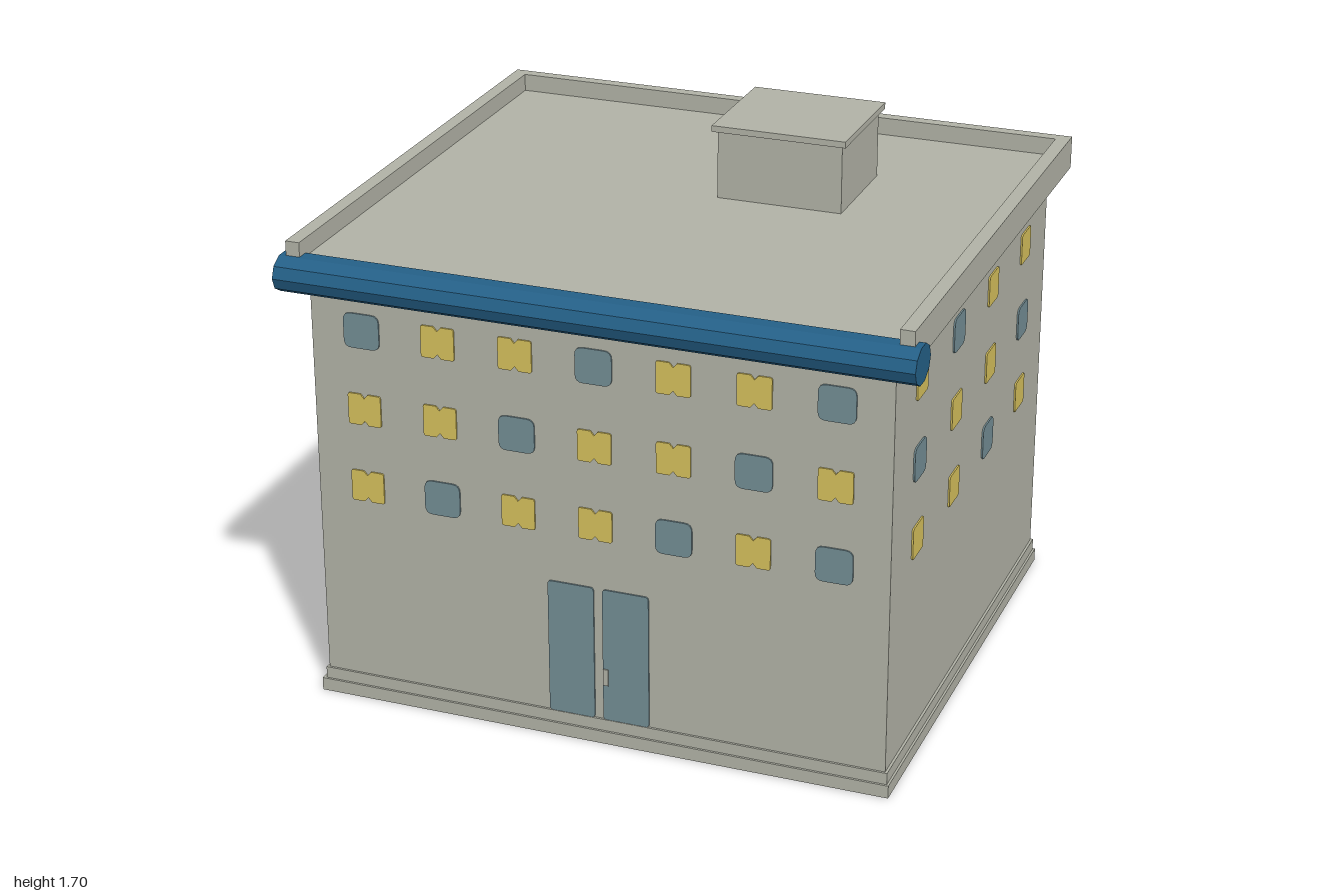
import * as THREE from 'three';

const mat = (name, color) => {
  const m = new THREE.MeshStandardMaterial({ color });
  m.name = name;
  return m;
};

export function createModel() {
  const stone = mat('stone', 0xb0b1a5);
  const blue = mat('awningBlue', 0x245f86);
  const glass = mat('darkGlass', 0x728c93);
  const lit = mat('litGlass', 0xd4bf5c);
  const root = new THREE.Group();
  root.name = 'building';

  // Box given by its limits on each axis
  const box = (name, [x0, x1], [y0, y1], [z0, z1], parent = root) => {
    const mesh = new THREE.Mesh(new THREE.BoxGeometry(x1 - x0, y1 - y0, z1 - z0), stone);
    mesh.position.set((x0 + x1) / 2, (y0 + y1) / 2, (z0 + z1) / 2);
    mesh.name = name;
    parent.add(mesh);
    return mesh;
  };

  // Walls and stepped plinth
  box('walls', [-0.91, 0.92], [0, 1.415], [-0.833, 0.805]);
  box('lowerPlinth', [-0.93, 0.935], [0, 0.042], [-0.845, 0.819]);
  box('upperPlinth', [-0.918, 0.928], [0.042, 0.08], [-0.839, 0.812]);

  // Roof deck with a parapet on three sides
  box('roofDeck', [-0.93, 0.94], [1.412, 1.46], [-0.86, 0.8]);
  box('parapetLeft', [0.935, 0.98], [1.412, 1.517], [-0.89, 0.833]);
  box('parapetRight', [-0.97, -0.925], [1.412, 1.517], [-0.89, 0.833]);
  box('parapetBack', [-0.925, 0.935], [1.412, 1.517], [-0.89, -0.85]);

  // Rooftop hut
  box('roofHut', [0.05, 0.455], [1.45, 1.68], [-0.47, -0.105]);
  box('roofHutCap', [0.035, 0.47], [1.68, 1.7], [-0.49, -0.09]);

  // Ten-sided roll along the front edge, slightly flattened
  const rollGeo = new THREE.CylinderGeometry(1, 1, 1.99, 10).toNonIndexed();
  rollGeo.rotateZ(Math.PI / 2);
  rollGeo.scale(1, 0.06, 0.074);
  rollGeo.computeVertexNormals();
  const roll = new THREE.Mesh(rollGeo, blue);
  roll.position.set(0.005, 1.414, 0.817);
  roll.name = 'frontRoll';
  root.add(roll);

  // Thin rounded plate, optionally pinched at the middle of top and bottom
  const plate = (w, h, r, notch = 0) => {
    const x = w / 2, y = h / 2, s = new THREE.Shape();
    s.moveTo(-x + r, -y);
    if (notch) s.lineTo(-0.012, -y).lineTo(0, -y + notch).lineTo(0.012, -y);
    s.lineTo(x - r, -y).quadraticCurveTo(x, -y, x, -y + r);
    s.lineTo(x, y - r).quadraticCurveTo(x, y, x - r, y);
    if (notch) s.lineTo(0.012, y).lineTo(0, y - notch).lineTo(-0.012, y);
    s.lineTo(-x + r, y).quadraticCurveTo(-x, y, -x, y - r);
    s.lineTo(-x, -y + r).quadraticCurveTo(-x, -y, -x + r, -y);
    return new THREE.ExtrudeGeometry(s, { depth: 0.005, bevelEnabled: false, curveSegments: 4 });
  };
  const darkPane = plate(0.116, 0.112, 0.025);
  const litPane = plate(0.104, 0.102, 0.01);
  const litPinched = plate(0.108, 0.102, 0.008, 0.014);
  const doorLeaf = plate(0.149, 0.445, 0.012);
  const rowHeights = [1.249, 0.992, 0.736];

  // One wall's windows, each row a string of D (dark) and L (lit)
  const facade = (name, pos, turn, columns, rows, litGeo) => {
    const g = new THREE.Group();
    g.name = name;
    g.position.set(...pos);
    g.rotation.y = turn;
    rows.forEach((row, r) => [...row].forEach((c, i) => {
      const dark = c === 'D';
      const pane = new THREE.Mesh(dark ? darkPane : litGeo, dark ? glass : lit);
      pane.name = dark ? 'darkWindow' : 'litWindow';
      pane.position.set(columns[i], rowHeights[r], 0);
      g.add(pane);
    }));
    root.add(g);
    return g;
  };
  const wide = [-3, -2, -1, 0, 1, 2, 3].map(i => i * 0.249);
  const side = [-0.55, -0.173, 0.2, 0.575];
  const sideRows = ['LDLL', 'DLLD', 'LLDL'];
  const front = facade('frontWindows', [0.002, 0, 0.805], 0, wide,
    ['DLLDLLD', 'LLDLLDL', 'LDLLDLD'], litPinched);
  const back = facade('backWindows', [0.002, 0, -0.833], Math.PI, wide,
    ['LDDLLDL', 'LLDLLDL', 'DLLLDLL'], litPinched);
  facade('leftWindows', [0.92, 0, 0], Math.PI / 2, side, sideRows, litPane);
  facade('rightWindows', [-0.91, 0, 0], -Math.PI / 2, side.map(x => -x), sideRows, litPane);

  // Double doors with a small handle on both long walls
  for (const wall of [front, back]) {
    for (const x of [-0.083, 0.094]) {
      const leaf = new THREE.Mesh(doorLeaf, glass);
      leaf.name = 'doorLeaf';
      leaf.position.set(x, 0.302, 0);
      wall.add(leaf);
    }
    box('doorHandle', [0.021, 0.038], [0.2, 0.255], [0, 0.009], wall);
  }

  // Ladder on the right wall: two rails, wall brackets and rungs
  const ladder = new THREE.Group();
  ladder.name = 'ladder';
  root.add(ladder);
  for (const z of [-0.34, 0.3]) {
    box('ladderRail', [-0.992, -0.955], [0.01, 1.465], [z - 0.02, z + 0.02], ladder);
    for (const y of [0.215, 1.2])
      box('ladderBracket', [-0.956, -0.905], [y - 0.013, y + 0.013], [z - 0.015, z + 0.015], ladder);
  }
  for (let i = 0; i < 14; i++) {
    const y = 0.085 + i * 0.105;
    box('ladderRung', [-1, -0.978], [y - 0.012, y + 0.012], [-0.362, 0.322], ladder);
  }
  return root;
}
